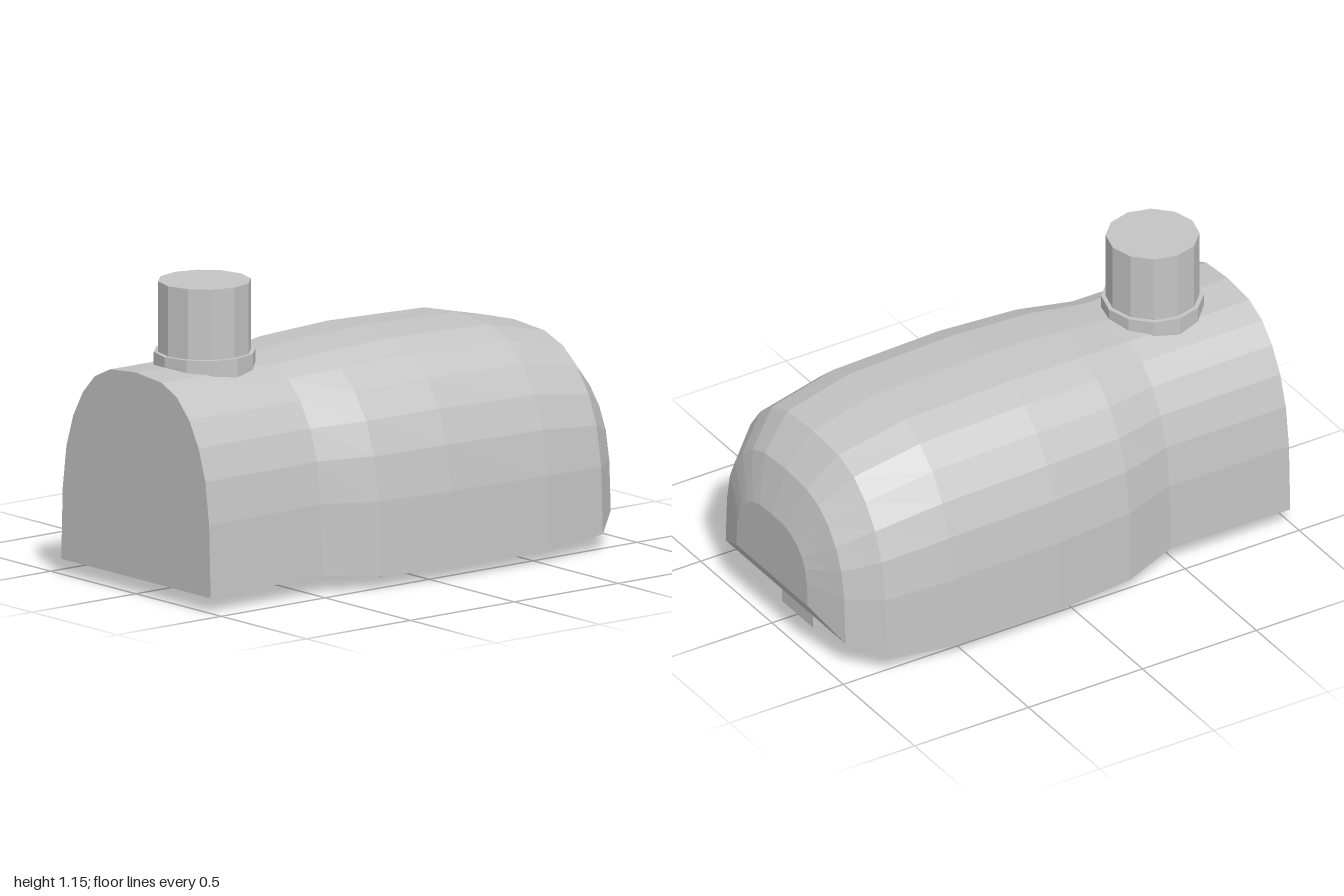
import * as THREE from 'three';

const gray = new THREE.MeshStandardMaterial({ color: 0xc4c4c4, flatShading: true });
gray.name = 'light gray';

// Half arch, base to crown: share of half width, share of height
const ARCH = [[1, 0], [0.98, 0.35], [0.93, 0.557], [0.84, 0.712], [0.71, 0.838], [0.55, 0.93], [0.345, 0.983], [0, 1]];

// Body sections: z, half width, bottom, top
const SECTIONS = [
  [1, 0.438, 0.058, 0.843],
  [0.47, 0.447, 0.073, 0.84],
  [0.25, 0.52, 0.05, 0.86],
  [-0.08, 0.548, 0.04, 0.871],
  [-0.54, 0.548, 0.04, 0.856],
  [-0.82, 0.52, 0.06, 0.79],
  [-0.94, 0.42, 0.115, 0.66],
  [-1, 0.25, 0.21, 0.48],
];

// Arched rings lofted along z, flat underneath, capped at both ends
function bodyGeometry() {
  const ring = [...ARCH, ...ARCH.slice(0, -1).reverse().map(([x, y]) => [-x, y])];
  const n = ring.length;
  const last = (SECTIONS.length - 1) * n;
  const positions = [];
  const index = [];
  for (const [z, w, y0, y1] of SECTIONS) {
    for (const [x, y] of ring) positions.push(x * w, y0 + y * (y1 - y0), z);
  }
  for (let i = 0; i < SECTIONS.length - 1; i++) {
    for (let j = 0; j < n; j++) {
      const a = i * n + j, b = i * n + (j + 1) % n;
      index.push(a, a + n, b, b, a + n, b + n);
    }
  }
  for (let j = 1; j < n - 1; j++) {
    index.push(0, j, j + 1, last, last + j + 1, last + j);
  }
  const geometry = new THREE.BufferGeometry();
  geometry.setAttribute('position', new THREE.Float32BufferAttribute(positions, 3));
  geometry.setIndex(index);
  const flat = geometry.toNonIndexed();
  flat.computeVertexNormals();
  return flat;
}

export function createModel() {
  const model = new THREE.Group();
  model.name = 'archedHousing';

  const add = (name, geometry, x = 0, y = 0, z = 0) => {
    const mesh = new THREE.Mesh(geometry, gray);
    mesh.name = name;
    mesh.position.set(x, y, z);
    model.add(mesh);
  };
  // Upright twelve-sided cylinder between two heights
  const post = (name, r, y0, y1) =>
    add(name, new THREE.CylinderGeometry(r, r, y1 - y0, 12), 0, (y0 + y1) / 2, 0.67);
  // Box given by half width and its y and z limits
  const block = (name, w, y0, y1, z0, z1) =>
    add(name, new THREE.BoxGeometry(2 * w, y1 - y0, z1 - z0), 0, (y0 + y1) / 2, (z0 + z1) / 2);

  add('body', bodyGeometry());

  // Stack on the narrow front end
  post('stackCollar', 0.192, 0.79, 0.882);
  post('stack', 0.175, 0.8, 1.15);

  // Underside
  block('bottomPlate', 0.438, 0.02, 0.052, -0.76, 0.178);
  block('rearFoot', 0.11, 0, 0.065, -0.888, -0.742);

  return model;
}
